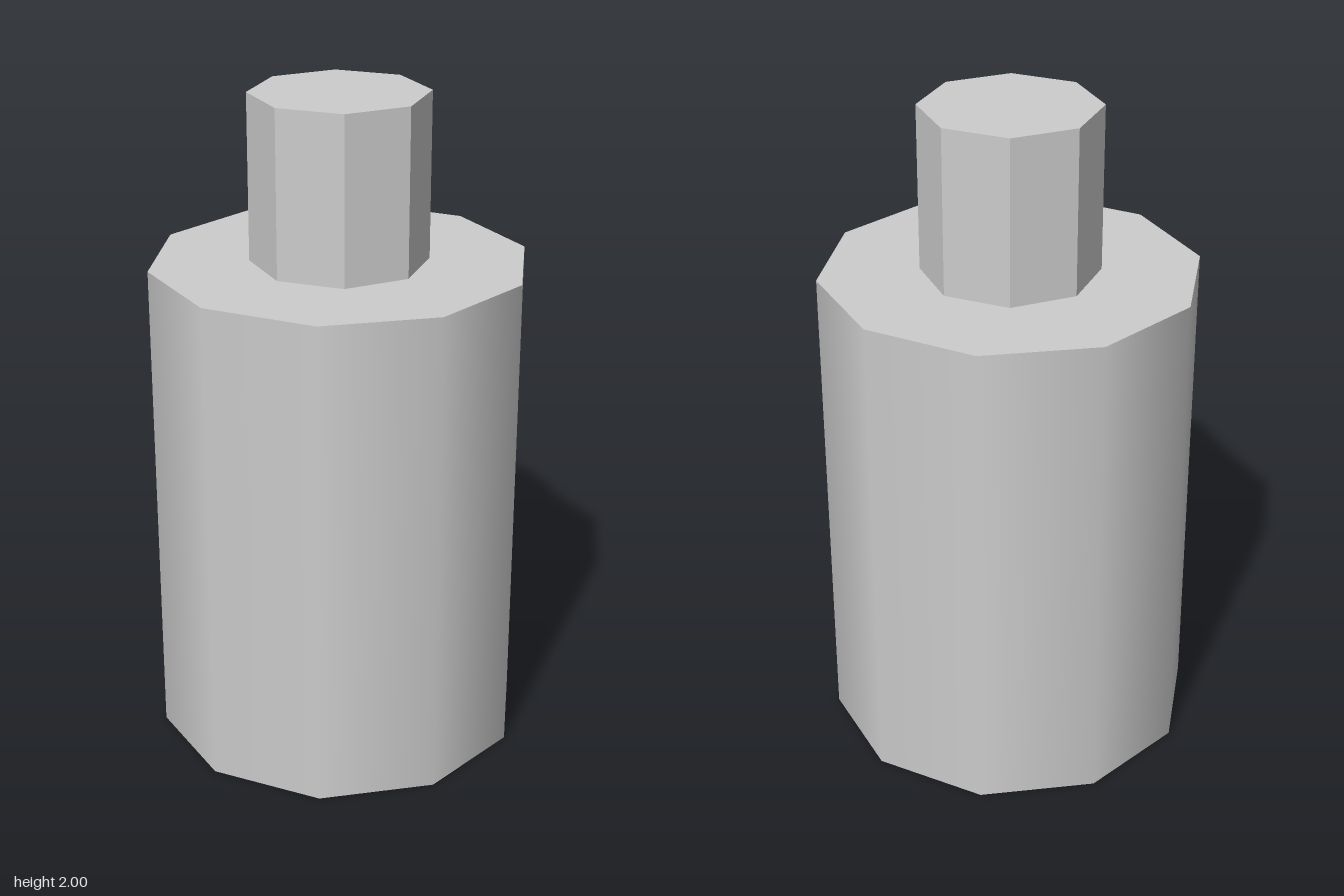
import * as THREE from 'three';

export function createModel() {
  const model = new THREE.Group();
  const grey = { name: 'light grey', color: 0xcccccc };
  const smoothGrey = new THREE.MeshStandardMaterial({ color: grey.color });
  smoothGrey.name = grey.name;

  // Upright prism with a corner on the x axis
  function prism(name, radius, bottom, top, sides, faceted) {
    let geometry = new THREE.CylinderGeometry(radius, radius, top - bottom, sides, 1, false, Math.PI / 2);
    if (faceted) {
      geometry = geometry.toNonIndexed();
      geometry.computeVertexNormals();
    }
    const mesh = new THREE.Mesh(geometry, smoothGrey);
    mesh.name = name;
    mesh.position.y = (bottom + top) / 2;
    model.add(mesh);
  }

  // Ten-sided body with smooth walls
  prism('body', 0.565, 0, 1.5, 10, false);
  // Eight-sided faceted neck
  prism('neck', 0.265, 1.5, 2, 8, true);

  return model;
}
